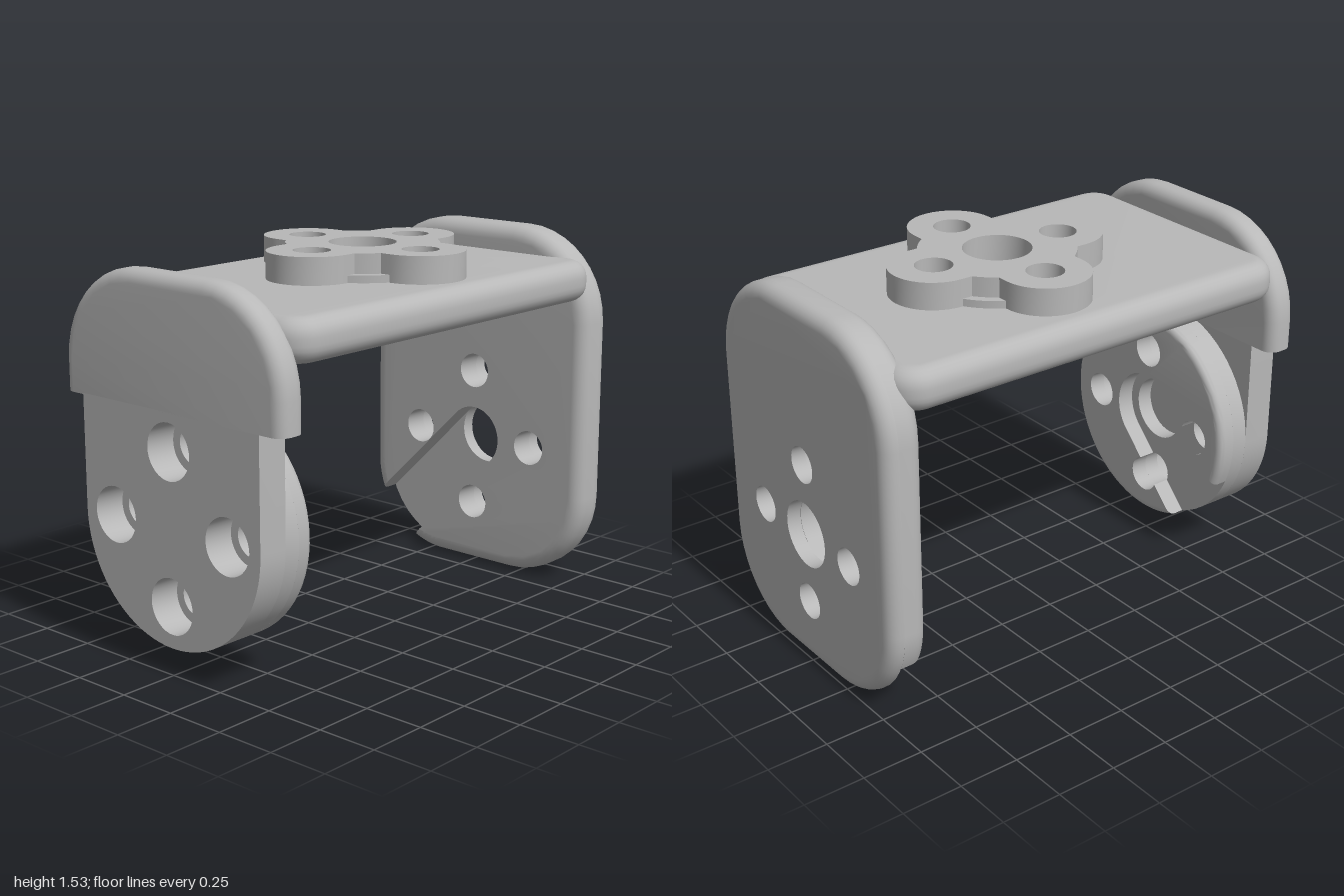
import * as THREE from 'three';
import { mergeGeometries, toCreasedNormals } from 'three/addons/utils/BufferGeometryUtils.js';

const V = (x, y) => new THREE.Vector2(x, y);
const rad = THREE.MathUtils.degToRad;

// points along an arc, angles in degrees
function arc(cx, cy, r, a0, a1, n = 10) {
  return Array.from({ length: n + 1 }, (_, i) => {
    const a = rad(a0 + (a1 - a0) * i / n);
    return V(cx + r * Math.cos(a), cy + r * Math.sin(a));
  });
}

// height and inset pairs for a slab with rounded bottom and top edges
function levels(z0, z1, f0 = 0, f1 = 0, n = 6) {
  const out = [];
  const step = (k) => [1 - Math.sin(k / n * Math.PI / 2), 1 - Math.cos(k / n * Math.PI / 2)];
  if (f0) for (let k = 0; k <= n; k++) out.push([z0 + f0 * step(k)[1], f0 * step(k)[0]]);
  else out.push([z0, 0]);
  if (f1) for (let k = n; k >= 0; k--) out.push([z1 - f1 * step(k)[1], f1 * step(k)[0]]);
  else out.push([z1, 0]);
  return out;
}

// wall between stacked closed rings
function wall(rings) {
  const pos = [];
  for (let j = 0; j + 1 < rings.length; j++) {
    const [p, q] = [rings[j], rings[j + 1]], n = p.pts.length;
    for (let i = 0; i < n; i++) {
      const k = (i + 1) % n;
      const a = [p.pts[i].x, p.pts[i].y, p.z], b = [p.pts[k].x, p.pts[k].y, p.z];
      const c = [q.pts[k].x, q.pts[k].y, q.z], d = [q.pts[i].x, q.pts[i].y, q.z];
      pos.push(...a, ...b, ...c, ...a, ...c, ...d);
    }
  }
  const g = new THREE.BufferGeometry();
  g.setAttribute('position', new THREE.Float32BufferAttribute(pos, 3));
  return g;
}

// solid slab: outline(inset) swept through the levels, pierced by straight round holes [x, y, r]
function slab(outline, lev, holes = []) {
  const rings = lev.map(([z, inset]) => ({ z, pts: outline(inset) }));
  const ends = [rings[0], rings[rings.length - 1]];
  const circles = holes.map(([x, y, r]) => arc(x, y, r, 360, 0, 36).slice(0, -1));
  const parts = [wall(rings)];
  for (const c of circles) parts.push(wall(ends.map((e) => ({ z: e.z, pts: c }))));
  ends.forEach((e, i) => {
    const s = new THREE.Shape(e.pts);
    s.holes = circles.map((c) => new THREE.Path(c));
    const g = new THREE.ShapeGeometry(s).toNonIndexed();
    g.deleteAttribute('normal');
    g.deleteAttribute('uv');
    const p = g.attributes.position;
    if (i === 0) for (let t = 0; t < p.count; t += 3) {
      const [x, y] = [p.getX(t), p.getY(t)];
      p.setXY(t, p.getX(t + 1), p.getY(t + 1));
      p.setXY(t + 1, x, y);
    }
    parts.push(g.translate(0, 0, e.z));
  });
  return toCreasedNormals(mergeGeometries(parts), 0.6);
}

// rounded rectangle; corners sit at (+-cx, y0/y1)
const roundRect = (cx, y0, y1, r) => (d) => [
  ...arc(cx, y0, r - d, -90, 0), ...arc(cx, y1, r - d, 0, 90),
  ...arc(-cx, y1, r - d, 90, 180), ...arc(-cx, y0, r - d, 180, 270)];

const HUB = 0.575, PITCH = 0.3, DISC = 0.467;
const four = (cx, cy, r) => [0, 1, 2, 3].map((i) => {
  const a = i * Math.PI / 2;
  return [cx + PITCH * Math.cos(a), cy + PITCH * Math.sin(a), r];
});

// inner edge of a slot running from the hub at -45 degrees; bite = radius of screw holes it cuts into
function slotPath(hw, bite = 0) {
  const c = PITCH * Math.SQRT1_2;
  let side = [];
  if (bite) {
    const a = THREE.MathUtils.radToDeg(Math.asin((c - hw) / bite));
    side = arc(c, c, bite, -a, 180 + a, 16);
  }
  const far = side.map((p) => V(p.x, -p.y));
  const pts = [...far, ...arc(0, 0, hw, -90, -270, 24), ...side.reverse()];
  return pts.map((p) => p.rotateAround(V(0, 0), -Math.PI / 4).add(V(0, HUB)));
}
const gapAngle = (hw, r) => THREE.MathUtils.radToDeg(Math.asin(hw / r));

export function createModel() {
  const group = new THREE.Group();
  const grey = new THREE.MeshStandardMaterial({ color: 0xb8b8b8 });
  grey.name = 'grey plastic';
  const add = (name, geo, upright) => {
    const m = new THREE.Mesh(upright ? geo.rotateY(Math.PI / 2) : geo.rotateX(-Math.PI / 2), grey);
    m.name = name;
    group.add(m);
  };

  // left side plate: full outer skin and slotted inner layer
  const R = 0.385, CX = 0.19, TOP = 1.145;
  add('leftPlateOuter', slab(roundRect(CX, R, TOP, R), levels(0.94, 1, 0, 0.055),
    [...four(0, HUB, 0.075), [0, HUB, 0.137]]), true);
  const hw = 0.135;
  const slotted = (d) => {
    const g = gapAngle(hw, R - d), r = R - d;
    return [...arc(CX, R, r, -45 + g, 0), ...arc(CX, TOP, r, 0, 90), ...arc(-CX, TOP, r, 90, 180),
      ...arc(-CX, R, r, 180, 270), ...arc(CX, R, r, -90, -45 - g), ...slotPath(hw)];
  };
  add('leftPlateInner', slab(slotted, levels(0.83, 0.94, 0.06, 0), four(0, HUB, 0.075)), true);

  // right side plate: wide upper part and narrower lower tongue with wide screw recesses
  const upper = (d) => [V(-CX - R + d, 1.02), V(CX + R - d, 1.02),
    ...arc(CX, TOP, R - d, 0, 90), ...arc(-CX, TOP, R - d, 90, 180)];
  add('rightPlateUpper', slab(upper, levels(-1, -0.87, 0.05, 0.05)), true);
  const tongue = () => [...arc(0, HUB, DISC, 180, 360, 40), V(DISC, 1.025), V(-DISC, 1.025)];
  add('rightPlateTongue', slab(tongue, levels(-1, -0.87), four(0, HUB, 0.112)), true);

  // right hub disc: base with centre socket, slotted face with rounded rim
  add('hubDiscBase', slab((d) => arc(0, HUB, DISC - d, 0, 360, 64).slice(0, -1), levels(-0.87, -0.8),
    [...four(0, HUB, 0.075), [0, HUB, 0.135]]), true);
  const sw = 0.18;
  const discFace = (d) => {
    const g = gapAngle(sw, DISC - d);
    return [...arc(0, HUB, DISC - d, -45 + g, 315 - g, 60), ...slotPath(sw, 0.075)];
  };
  add('hubDiscFace', slab(discFace, levels(-0.8, -0.725, 0, 0.03),
    four(0, HUB, 0.075).slice(1, 3)), true);

  // cross plate joining the sides
  const BX = 0.08;
  add('crossPlate', slab(roundRect(0.79, -0.455, 0.455, 0.12), levels(1.25, 1.42, 0.07, 0.07),
    [...four(BX, 0, 0.115), [BX, 0, 0.125]]));

  // four-lobed boss on top
  const body = 0.31, lobe = 0.18;
  const turn = (pts, i) => pts.map((p) => p.rotateAround(V(0, 0), i * Math.PI / 2).add(V(BX, 0)));
  const a = gapAngle(lobe, body);
  const boss = () => [0, 1, 2, 3].flatMap((i) => turn(
    [...arc(PITCH, 0, lobe, -90, 90, 20), ...arc(0, 0, body, a, 90 - a, 4)], i));
  add('lobedBoss', slab(boss, levels(1.42, 1.53), [...four(BX, 0, 0.075), [BX, 0, 0.137]]));

  // low ledges between the lobes
  const b = gapAngle(lobe, 0.345);
  for (let i = 0; i < 4; i++) {
    const ledge = () => turn([...arc(0, 0, 0.345, b, 90 - b, 6), ...arc(0, 0, 0.29, 90 - a, a, 4)], i);
    add('bossLedge', slab(ledge, levels(1.42, 1.45)));
  }
  return group;
}
